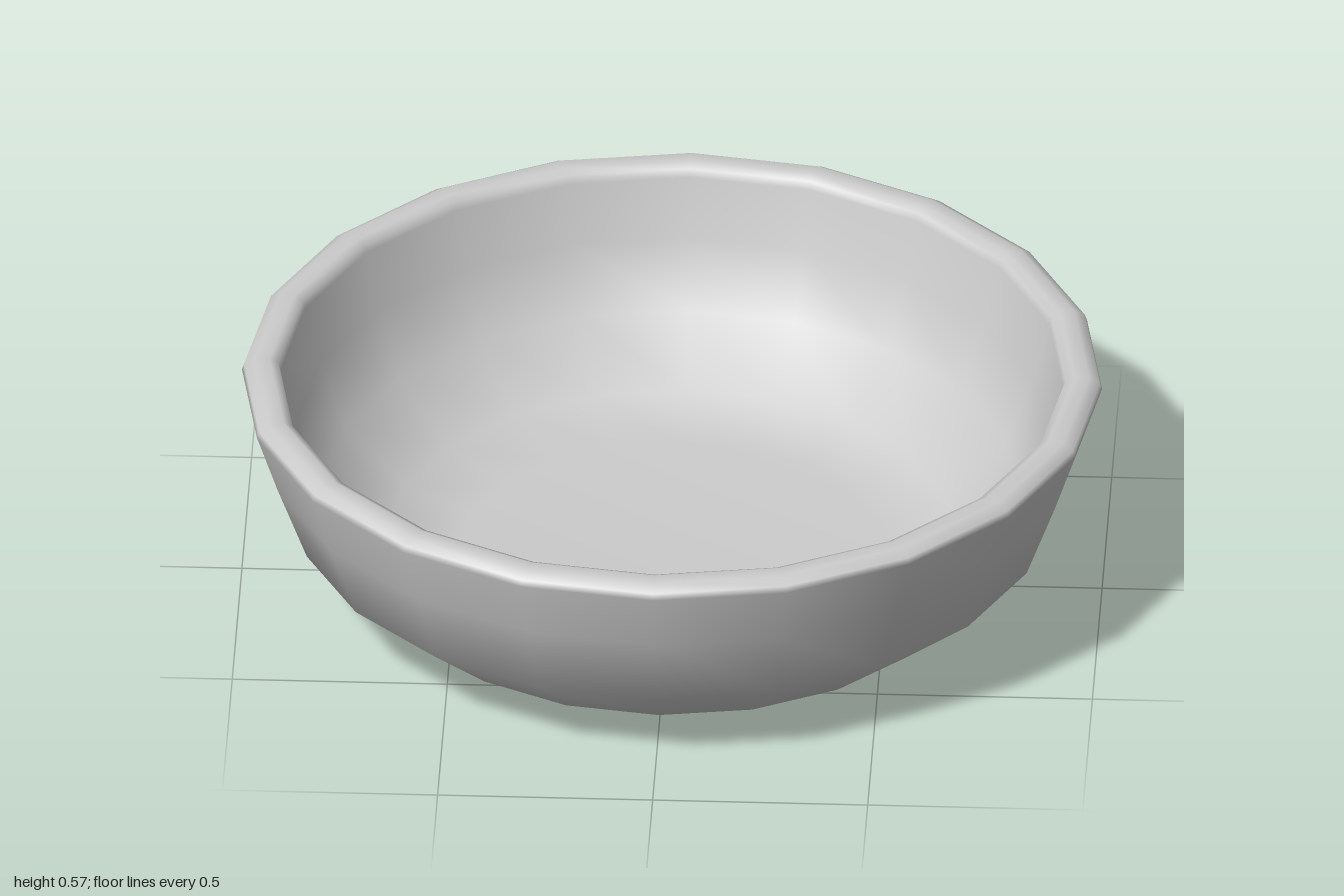
import * as THREE from 'three';

const SIDES = 20;

export function createModel() {
  const group = new THREE.Group();
  group.name = 'bowl';

  // Closed profile [radius, height]: underside, outer wall, rounded rim, inner wall, floor
  const profile = [
    [0, 0], [0.52, 0], [0.70, 0.05], [0.88, 0.20], [0.95, 0.39],
    [1.00, 0.54], [0.995, 0.555], [0.97, 0.57], [0.935, 0.57], [0.915, 0.56], [0.91, 0.54],
    [0.87, 0.40], [0.81, 0.24], [0.66, 0.11], [0.50, 0.07], [0, 0.07],
  ].map(([r, y]) => new THREE.Vector2(r, y));

  const bowl = new THREE.Mesh(
    new THREE.LatheGeometry(profile, SIDES),
    new THREE.MeshStandardMaterial({ color: 0xcccccc }),
  );
  bowl.name = 'bowlShell';
  group.add(bowl);
  return group;
}
